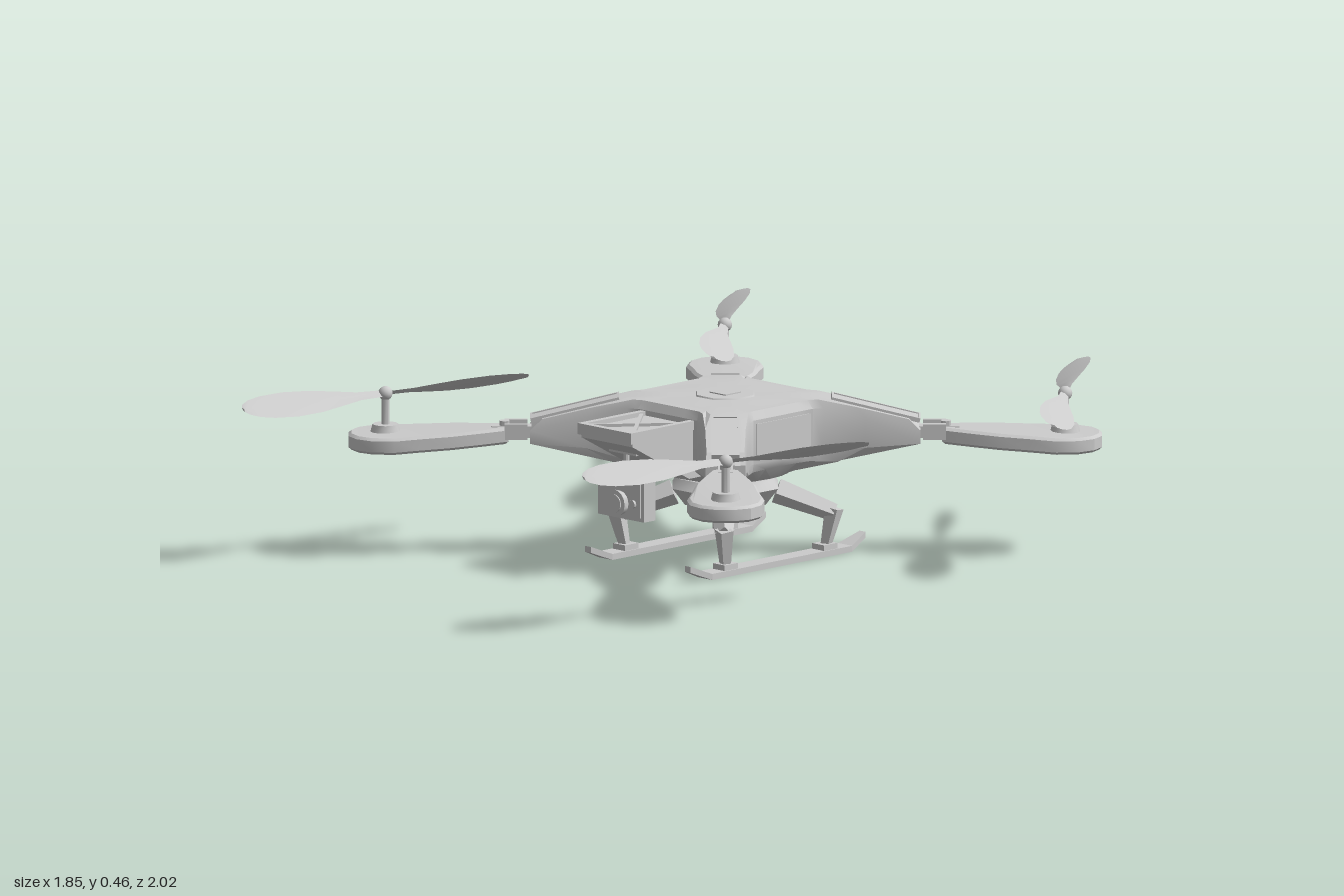
import * as THREE from 'three';
import { toCreasedNormals } from 'three/addons/utils/BufferGeometryUtils.js';

const grey = new THREE.MeshStandardMaterial({ color: 0xcccccc });
const V = (x, y, z) => new THREE.Vector3(x, y, z);
const lerp = THREE.MathUtils.lerp;
const ramp = (v, a, b) => THREE.MathUtils.clamp((v - a) / (b - a), 0, 1);

function add(parent, name, geo, x = 0, y = 0, z = 0) {
  const mesh = new THREE.Mesh(geo, grey);
  mesh.name = name;
  mesh.position.set(x, y, z);
  parent.add(mesh);
  return mesh;
}
const box = (p, name, w, h, d, x, y, z) => add(p, name, new THREE.BoxGeometry(w, h, d), x, y, z);
const disc = (p, name, rt, rb, h, n, x, y, z) =>
  add(p, name, toCreasedNormals(new THREE.CylinderGeometry(rt, rb, h, n), 0.7), x, y, z);

// Closed skin over a list of equal-length rings
function loft(rings, crease = 0.5) {
  const pos = [], n = rings[0].length;
  const tri = (...pts) => pts.forEach(p => pos.push(p.x, p.y, p.z));
  const mid = ring => ring.reduce((s, p) => s.add(p), V(0, 0, 0)).divideScalar(n);
  const first = rings[0], last = rings[rings.length - 1], c0 = mid(first), c1 = mid(last);
  for (let j = 0; j < n; j++) {
    const k = (j + 1) % n;
    for (let i = 0; i + 1 < rings.length; i++) {
      const a = rings[i], b = rings[i + 1];
      tri(a[j], b[j], b[k]);
      tri(a[j], b[k], a[k]);
    }
    tri(c0, first[j], first[k]);
    tri(c1, last[k], last[j]);
  }
  const geo = new THREE.BufferGeometry();
  geo.setAttribute('position', new THREE.Float32BufferAttribute(pos, 3));
  return toCreasedNormals(geo, crease);
}

// Square-section strut between two points
function strut(parent, name, a, b, ra, rb) {
  const dir = b.clone().sub(a);
  const geo = new THREE.CylinderGeometry(rb, ra, dir.length(), 4).rotateY(Math.PI / 4);
  const m = add(parent, name, toCreasedNormals(geo, 0.5));
  m.position.copy(a).add(b).multiplyScalar(0.5);
  m.quaternion.setFromUnitVectors(V(0, 1, 0), dir.normalize());
}

// Height of the shell's top at a distance from its middle
const topAt = r => lerp(0.428, 0.362, ramp(r, 0.26, 0.53));

function bodyGeometry() {
  const side = [[0.215, 0.06], [0.215, 0.11], [0.228, 0.138], [0.3, 0.22], [0.4, 0.325]];
  const quarter = [[0.215, 0], ...side, ...side.map(([x, z]) => [z, x]).reverse()];
  const outline = [];
  for (let q = 0; q < 4; q++) {
    const c = Math.round(Math.cos(q * Math.PI / 2)), s = Math.round(Math.sin(q * Math.PI / 2));
    quarter.forEach(([x, z]) => outline.push([x * c - z * s, x * s + z * c]));
  }
  const ring = (limit, scale, height) => outline.map(([x, z]) => {
    const r = Math.hypot(x, z), k = Math.min(r * scale, limit) / r;
    return V(x * k, height(r * k), z * k);
  });
  return loft([
    ring(0.11, 1, () => 0.212),
    ring(0.17, 1, () => 0.228),
    ring(0.3, 0.96, r => lerp(0.268, 0.258, ramp(r, 0.2, 0.3))),
    ring(1, 1, r => lerp(0.288, 0.308, ramp(r, 0.24, 0.52))),
    ring(1, 1, r => topAt(r) - 0.022),
    ring(1, 0.94, topAt),
    ring(0.26, 0.8, topAt),
    ring(0.15, 1, () => 0.43),
  ]);
}

// Flat plan outline (x along the arm, mirrored half widths) raised to a slab
function podGeometry() {
  const half = [[0.57, 0.036], [0.64, 0.058], [0.72, 0.08], [0.8, 0.09], [0.87, 0.102],
    [0.93, 0.094], [0.97, 0.066], [0.99, 0.025]];
  const pts = [...half, ...half.map(([x, w]) => [x, -w]).reverse()];
  const shape = new THREE.Shape(pts.map(([x, w]) => new THREE.Vector2(x, w)));
  const geo = new THREE.ExtrudeGeometry(shape, {
    depth: 0.03, bevelEnabled: true, bevelSize: 0.008, bevelThickness: 0.007, bevelOffset: -0.008, bevelSegments: 1,
  }).rotateX(-Math.PI / 2);
  const p = geo.attributes.position;
  for (let i = 0; i < p.count; i++) p.setY(i, p.getY(i) + 0.293 + 0.055 * Math.max(0, 0.88 - p.getX(i)));
  return toCreasedNormals(geo, 0.5);
}

// Twisted blade along +x
function bladeGeometry() {
  const stations = [[0.01, 0.012], [0.08, 0.015], [0.14, 0.028], [0.21, 0.043], [0.29, 0.051],
    [0.36, 0.047], [0.4, 0.037], [0.425, 0.022], [0.432, 0.01]];
  return loft(stations.map(([x, w]) => {
    const a = lerp(0.6, 0.45, x / 0.43), c = Math.cos(a), s = Math.sin(a), t = 0.003;
    return [V(x, w * s, w * c), V(x, t * c, -t * s), V(x, -w * s, -w * c), V(x, -t * c, t * s)];
  }), 0.6);
}

function buildArm(angle, propAngle, pod, blade) {
  const arm = new THREE.Group();
  arm.name = 'arm';
  arm.rotation.y = angle;
  add(arm, 'motorPod', pod);
  // Folding hinge between shell and pod
  box(arm, 'hingeTongue', 0.12, 0.03, 0.04, 0.555, 0.332, 0);
  for (const s of [-1, 1]) box(arm, 'hingeCheek', 0.06, 0.042, 0.014, 0.55, 0.336, s * 0.032);
  disc(arm, 'hingePin', 0.014, 0.014, 0.05, 10, 0.58, 0.335, 0);
  // Sloping cover plate with a raised rim
  const slope = new THREE.Group();
  slope.name = 'armCover';
  slope.position.set(0.395, topAt(0.395), 0);
  slope.rotation.z = -Math.atan2(0.066, 0.27);
  arm.add(slope);
  box(slope, 'coverPlate', 0.23, 0.006, 0.064, 0, 0, 0);
  for (const s of [-1, 1]) {
    box(slope, 'coverRim', 0.24, 0.012, 0.006, 0, 0, s * 0.034);
    box(slope, 'coverEnd', 0.006, 0.012, 0.068, s * 0.117, 0, 0);
  }
  // Motor and propeller
  disc(arm, 'motorBase', 0.034, 0.04, 0.022, 12, 0.893, 0.34, 0);
  disc(arm, 'motorShaft', 0.011, 0.011, 0.09, 10, 0.893, 0.39, 0);
  const prop = new THREE.Group();
  prop.name = 'propeller';
  prop.position.set(0.893, 0.433, 0);
  prop.rotation.y = propAngle - angle;
  arm.add(prop);
  for (const turn of [0, Math.PI]) add(prop, 'blade', blade).rotation.y = turn;
  add(prop, 'propellerHub', new THREE.SphereGeometry(0.019, 12, 8));
  return arm;
}

function buildLandingGear() {
  const gear = new THREE.Group();
  gear.name = 'landingGear';
  disc(gear, 'mountPlate', 0.13, 0.15, 0.025, 8, 0, 0.2, 0).rotation.y = Math.PI / 8;
  disc(gear, 'mountBase', 0.15, 0.115, 0.045, 8, 0, 0.165, 0).rotation.y = Math.PI / 8;
  disc(gear, 'bellyNub', 0.009, 0.006, 0.03, 8, 0, 0.135, 0);
  for (const sx of [-1, 1]) {
    for (const sz of [-1, 1]) {
      const knee = V(sx * 0.2, 0.112, sz * 0.205);
      strut(gear, 'upperLeg', V(sx * 0.09, 0.17, sz * 0.1), knee, 0.034, 0.024);
      strut(gear, 'lowerLeg', knee.clone().add(V(0, 0.012, 0)), V(sx * 0.185, 0.012, sz * 0.185), 0.026, 0.014);
      box(gear, 'foot', 0.044, 0.026, 0.05, sx * 0.185, 0.018, sz * 0.185);
    }
    const stations = [[-0.325, 0.034, 0.011], [-0.26, 0.008, 0.026], [0.26, 0.008, 0.026], [0.325, 0.034, 0.011]];
    add(gear, 'skid', loft(stations.map(([z, y, w]) =>
      [V(-w, y + 0.008, z), V(w, y + 0.008, z), V(w, y - 0.008, z), V(-w, y - 0.008, z)]), 0.2), sx * 0.185, 0, 0);
  }
  return gear;
}

function buildCamera() {
  const cam = new THREE.Group();
  cam.name = 'camera';
  box(cam, 'cameraBody', 0.172, 0.116, 0.042, 0, 0.21, 0.31);
  box(cam, 'cameraFace', 0.15, 0.096, 0.006, 0, 0.21, 0.332);
  disc(cam, 'lens', 0.037, 0.03, 0.026, 20, 0, 0.195, 0.342).rotation.x = Math.PI / 2;
  disc(cam, 'lensGlass', 0.024, 0.024, 0.004, 20, 0, 0.195, 0.356).rotation.x = Math.PI / 2;
  disc(cam, 'button', 0.011, 0.011, 0.01, 12, 0.05, 0.197, 0.337).rotation.x = Math.PI / 2;
  disc(cam, 'cameraStem', 0.008, 0.008, 0.1, 10, 0, 0.31, 0.31);
  disc(cam, 'stemCollar', 0.016, 0.02, 0.02, 10, 0, 0.275, 0.31);
  box(cam, 'mountBar', 0.1, 0.012, 0.03, 0, 0.33, 0.31);
  return cam;
}

// Wedge-shaped nose shelf with a braced top
function buildShelf() {
  const shelf = new THREE.Group();
  shelf.name = 'noseShelf';
  const side = new THREE.Shape([[0.16, 0.25], [0.23, 0.25], [0.44, 0.365], [0.44, 0.392], [0.16, 0.392]]
    .map(([z, y]) => new THREE.Vector2(-z, y)).reverse());
  const geo = new THREE.ExtrudeGeometry(side, { depth: 0.19, bevelEnabled: false });
  add(shelf, 'shelfWedge', geo.translate(0, 0, -0.095).rotateY(Math.PI / 2));
  for (const s of [-1, 1]) {
    box(shelf, 'shelfRim', 0.018, 0.024, 0.24, s * 0.09, 0.392, 0.33);
    const brace = box(shelf, 'crossBrace', 0.01, 0.012, 0.25, 0, 0.394, 0.327);
    brace.rotation.y = s * 0.7;
  }
  box(shelf, 'shelfFrontRim', 0.198, 0.03, 0.018, 0, 0.389, 0.441);
  return shelf;
}

export function createModel() {
  const drone = new THREE.Group();
  drone.name = 'quadcopter';
  const hull = new THREE.Group();
  hull.name = 'airframe';
  hull.position.set(0.007, 0, -0.05);
  drone.add(hull);

  add(hull, 'shell', bodyGeometry());
  // Top hatch and button
  disc(hull, 'topHatch', 0.08, 0.084, 0.006, 8, 0, 0.431, 0).rotation.y = Math.PI / 8;
  box(hull, 'topButton', 0.058, 0.008, 0.058, 0, 0.433, 0);
  // Flank panels and rear cover
  for (const s of [-1, 1]) box(hull, 'flankPanel', 0.008, 0.095, 0.2, s * 0.214, 0.348, 0);
  box(hull, 'rearCover', 0.13, 0.09, 0.03, 0, 0.345, -0.217);

  hull.add(buildShelf(), buildLandingGear());

  const pod = podGeometry(), blade = bladeGeometry();
  for (let i = 0; i < 4; i++) {
    const propAngle = i < 2 ? -0.857 : 1.315; // rear pair, then front pair
    hull.add(buildArm(Math.PI / 4 + i * Math.PI / 2, propAngle, pod, blade));
  }
  drone.add(buildCamera());
  return drone;
}
